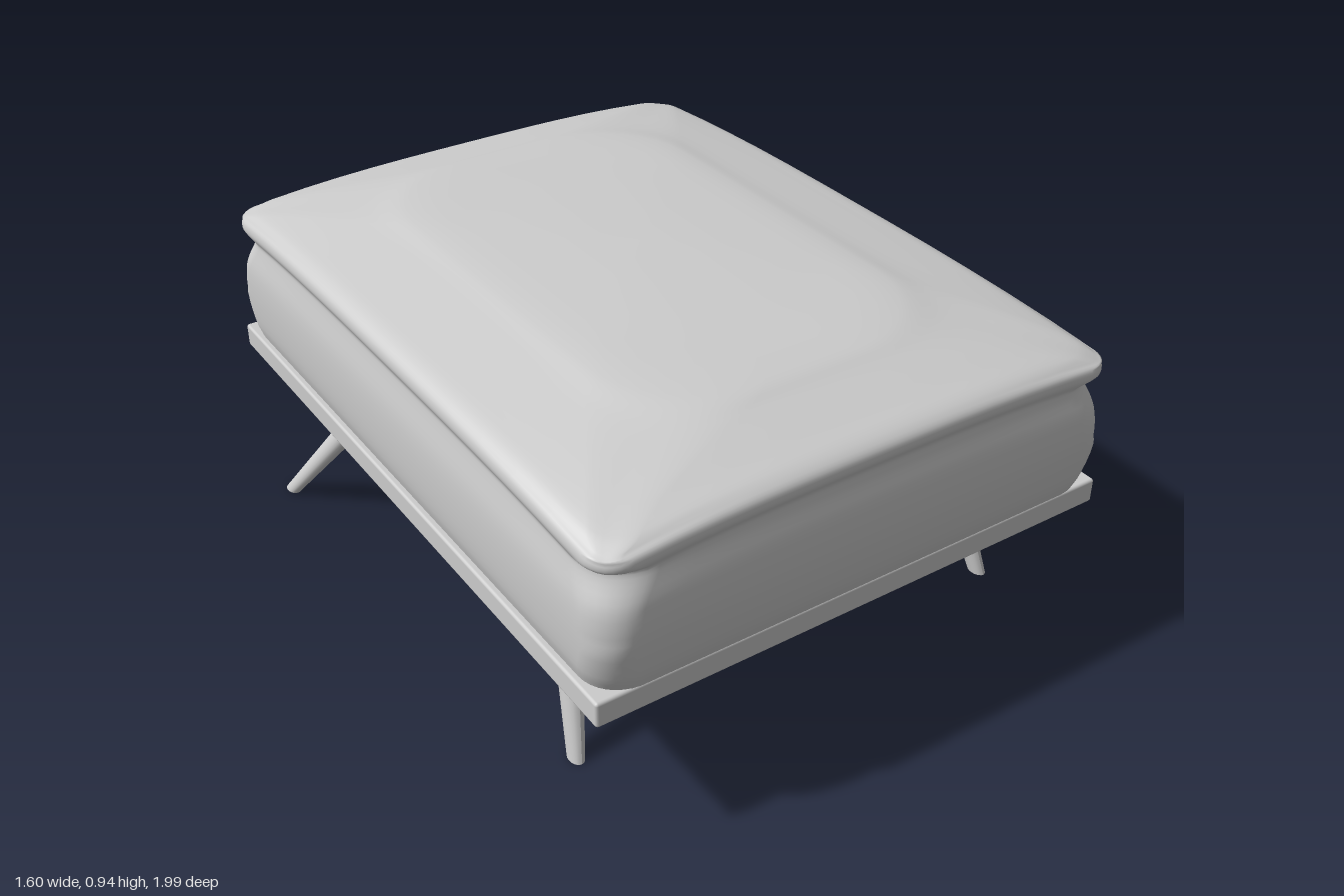
import * as THREE from 'three';
import { RoundedBoxGeometry } from 'three/addons/geometries/RoundedBoxGeometry.js';

const CX = -0.02; // the seat sits slightly off the legs' centre line

// Skin a list of closed rings (arrays of Vector3, running +x to +z, bottom to top)
function skin(rings) {
  const n = rings[0].length, pos = [], idx = [];
  rings.forEach(ring => ring.forEach(p => pos.push(p.x, p.y, p.z)));
  for (let j = 0; j < rings.length - 1; j++) {
    for (let i = 0; i < n; i++) {
      const a = j * n + i, b = j * n + (i + 1) % n;
      idx.push(a, a + n, b, b, a + n, b + n);
    }
  }
  const g = new THREE.BufferGeometry();
  g.setAttribute('position', new THREE.Float32BufferAttribute(pos, 3));
  g.setIndex(idx);
  g.computeVertexNormals();
  return g;
}

// Rounded rectangle ring whose corners hang lower than its sides
function cushionRing(hx, hz, y, r, drop) {
  const pts = [], arc = 8, side = 12;
  const corners = [[1, 1], [-1, 1], [-1, -1], [1, -1]];
  const at = (k, f) => {
    const [sx, sz] = corners[k % 4], a = (k % 4 + f) * Math.PI / 2;
    return new THREE.Vector3(sx * (hx - r) + r * Math.cos(a), 0, sz * (hz - r) + r * Math.sin(a));
  };
  for (let k = 0; k < 4; k++) {
    for (let i = 0; i <= arc; i++) pts.push(at(k, i / arc));
    for (let i = 1; i < side; i++) pts.push(at(k, 1).lerp(at(k + 1, 0), i / side));
  }
  pts.forEach(p => {
    const corner = Math.min(Math.abs(p.x) / hx, Math.abs(p.z) / hz);
    p.y = y - drop * corner ** 3;
    p.x += CX;
  });
  return pts;
}

function cushionGeometry() {
  // half width, half depth, height, corner radius, corner drop
  const profile = [
    [0.735, 0.968, 0.445, 0.10, 0],
    [0.749, 0.985, 0.50, 0.10, 0],
    [0.755, 0.997, 0.60, 0.10, 0],
    [0.751, 0.992, 0.69, 0.11, 0.01],
    [0.736, 0.976, 0.768, 0.14, 0.025],
    [0.734, 0.974, 0.79, 0.14, 0.03],
    [0.745, 0.986, 0.815, 0.09, 0.03],
    [0.741, 0.982, 0.84, 0.08, 0.03],
    [0.715, 0.956, 0.86, 0.08, 0.03],
    [0.65, 0.89, 0.876, 0.12, 0.02],
    [0.50, 0.77, 0.905, 0.24, 0.008],
    [0.43, 0.71, 0.921, 0.28, 0],
    [0.28, 0.48, 0.932, 0.22, 0],
    [0.14, 0.24, 0.938, 0.12, 0],
    [0.002, 0.004, 0.94, 0.0015, 0],
  ];
  const size = new THREE.CatmullRomCurve3(profile.map(p => new THREE.Vector3(p[0], p[1], p[2])));
  const corner = new THREE.CatmullRomCurve3(profile.map(p => new THREE.Vector3(p[3], p[4], 0)));
  const rings = [], rows = (profile.length - 1) * 4;
  for (let j = 0; j <= rows; j++) {
    const s = size.getPoint(j / rows), c = corner.getPoint(j / rows);
    rings.push(cushionRing(s.x, s.y, s.z, Math.min(c.x, s.x * 0.98), c.y));
  }
  return skin(rings);
}

// Splayed, tapered leg with ends cut level with the floor
function legGeometry(foot, top) {
  const h = 0.39, g = new THREE.CylinderGeometry(1, 1, h, 20, 6);
  const p = g.attributes.position;
  for (let i = 0; i < p.count; i++) {
    const t = p.getY(i) / h + 0.5, mix = THREE.MathUtils.lerp;
    p.setXYZ(i,
      mix(foot[0], top[0], t) + p.getX(i) * mix(0.02, 0.038, t),
      t * h,
      mix(foot[1], top[1], t) + p.getZ(i) * mix(0.029, 0.05, t));
  }
  g.computeVertexNormals();
  return g;
}

export function createModel() {
  const model = new THREE.Group();
  model.name = 'footstool';
  const grey = new THREE.MeshStandardMaterial({ color: 0xcccccc });
  grey.name = 'light grey';
  const add = (name, geometry) => {
    const mesh = new THREE.Mesh(geometry, grey);
    mesh.name = name;
    model.add(mesh);
    return mesh;
  };

  // Padded seat on a thin board
  add('cushion', cushionGeometry());
  add('baseBoard', new RoundedBoxGeometry(1.51, 0.07, 1.95, 2, 0.008)).position.set(CX, 0.42, -0.003);

  // Two pairs of legs, the back pair splayed further
  for (const [name, s] of [['left', 1], ['right', -1]]) {
    add(name + 'FrontLeg', legGeometry([0.66 * s, 0.683], [0.598 * s, 0.55]));
    add(name + 'BackLeg', legGeometry([0.78 * s, -0.742], [0.637 * s, -0.45]));
  }
  return model;
}
